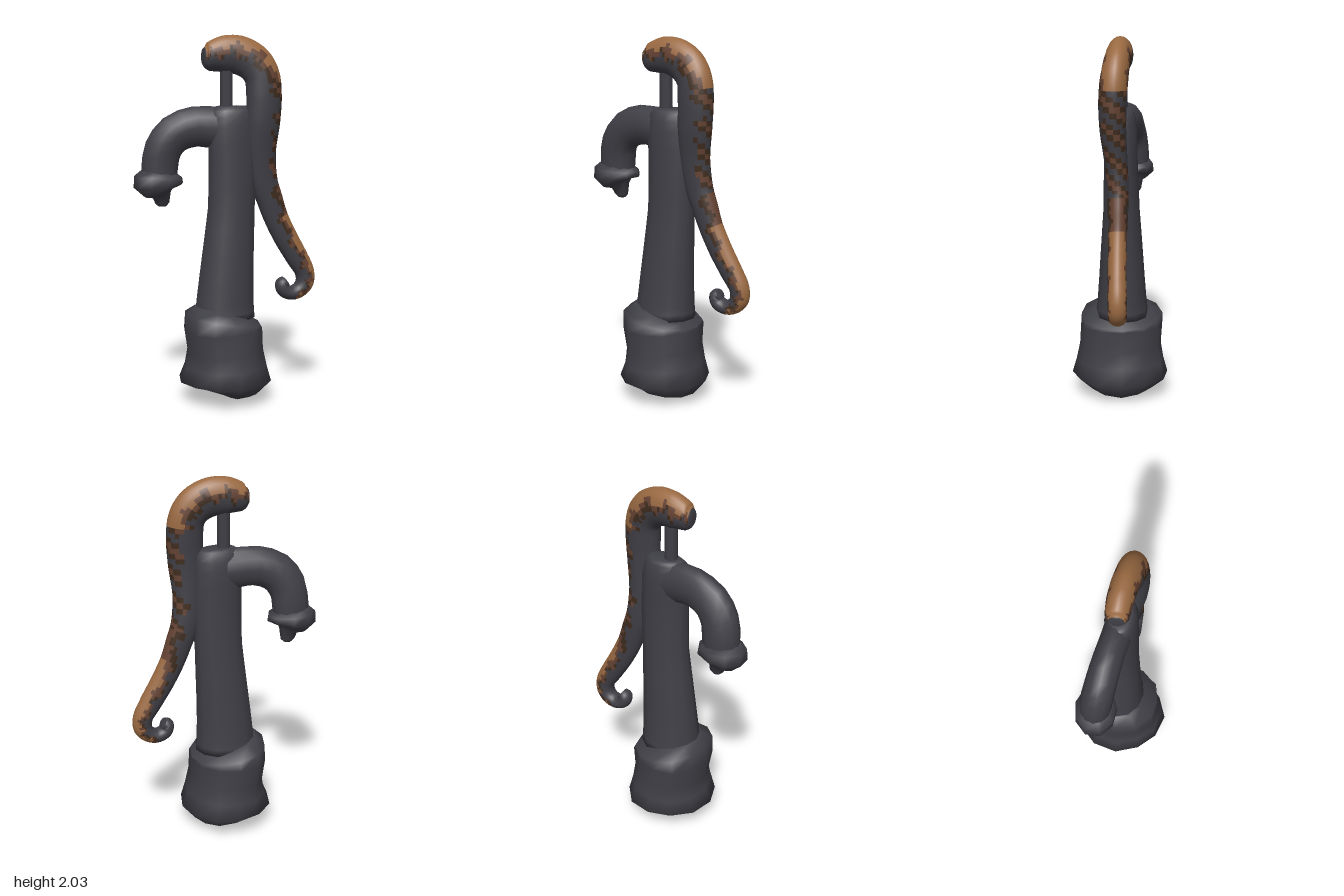
import * as THREE from 'three';

const charcoal = new THREE.MeshStandardMaterial({ name: 'charcoal iron', color: 0x3f3f46 });
const rust = new THREE.MeshStandardMaterial({ name: 'light rust', color: 0x9a6a42 });
const brown = new THREE.MeshStandardMaterial({ name: 'brown rust', color: 0x644232 });
const darkBrown = new THREE.MeshStandardMaterial({ name: 'dark rust', color: 0x3f2c1e });
const palette = [charcoal, rust, brown, darkBrown];

// Sweep of elliptical rings along stations [x, y, z, radius in the xy plane, radius in z].
// Ring angle 0 lies on the left of the direction of travel. pick(t, angle) chooses a material.
function sweep(name, stations, { sides = 12, steps = 1, wobble = 0, pick = null } = {}) {
  const path = new THREE.CatmullRomCurve3(stations.map(s => new THREE.Vector3(s[0], s[1], s[2])));
  const last = stations.length - 1;
  const rings = last * steps;
  const pos = [];
  for (let i = 0; i <= rings; i++) {
    const t = i / rings;
    const p = path.getPoint(t), d = path.getTangent(t);
    const k = Math.min(Math.floor(i / steps), last - 1), f = i / steps - k;
    const ra = THREE.MathUtils.lerp(stations[k][3], stations[k + 1][3], f);
    const rb = THREE.MathUtils.lerp(stations[k][4], stations[k + 1][4], f);
    const len = Math.hypot(d.x, d.y);
    const ox = -d.y / len, oy = d.x / len;
    for (let j = 0; j < sides; j++) {
      const a = (j / sides) * Math.PI * 2;
      const w = 1 + wobble * Math.sin(j * 2.3 + i * 0.8);
      const u = Math.cos(a) * ra * w;
      pos.push(p.x + ox * u, p.y + oy * u, p.z + Math.sin(a) * rb * w);
    }
  }
  const start = pos.length / 3;
  pos.push(...path.getPoint(0).toArray(), ...path.getPoint(1).toArray());

  const faces = palette.map(() => []);
  for (let i = 0; i < rings; i++) {
    for (let j = 0; j < sides; j++) {
      const n = (j + 1) % sides;
      const a = i * sides + j, b = i * sides + n, c = a + sides, e = b + sides;
      let angle = ((j + 0.5) / sides) * Math.PI * 2;
      if (angle > Math.PI) angle -= Math.PI * 2;
      faces[pick ? pick((i + 0.5) / rings, angle) : 0].push(a, b, e, a, e, c);
    }
  }
  for (let j = 0; j < sides; j++) {
    const n = (j + 1) % sides, r = rings * sides;
    faces[0].push(start, n, j, start + 1, r + j, r + n);
  }
  const geo = new THREE.BufferGeometry();
  geo.setAttribute('position', new THREE.Float32BufferAttribute(pos, 3));
  geo.setIndex(faces.flat());
  let offset = 0;
  faces.forEach((list, m) => {
    if (list.length) geo.addGroup(offset, list.length, m);
    offset += list.length;
  });
  geo.computeVertexNormals();
  const mesh = new THREE.Mesh(geo, pick ? palette : charcoal);
  if (!pick) geo.clearGroups();
  mesh.name = name;
  return mesh;
}

// Ragged rust along the outer edge of the handle
function rustPattern(t, angle) {
  const ragged = 0.22 * Math.sin(t * 95 + angle * 2) + 0.16 * Math.sin(t * 211 - angle * 3);
  const edge = Math.abs(angle) + ragged;
  if (t > 0.84 || t < 0.01) return 0;
  if (t > 0.27 && t < 0.47) {                       // worn stretch beside the column
    const patch = Math.sin(t * 130 + angle * 2.5);
    return edge > 1.15 || patch < -0.45 ? 0 : patch > 0.75 ? 2 : 3;
  }
  if (t >= 0.47 && t < 0.55) return edge > 1.3 ? 0 : edge > 0.8 ? 3 : 2;
  if (edge < 1.1) return 1;
  if (edge < 1.45) return 2;
  return edge < 1.65 ? 3 : 0;
}

export function createModel() {
  const model = new THREE.Group();
  model.name = 'handPump';

  // Heavy foot with a flared bottom and a shoulder
  model.add(sweep('base', [
    [-0.03, 0.005, 0.0, 0.10, 0.12],
    [-0.02, 0.03, 0.0, 0.18, 0.19],
    [-0.02, 0.085, 0.0, 0.255, 0.27],
    [-0.02, 0.17, 0.0, 0.225, 0.25],
    [-0.025, 0.26, 0.0, 0.21, 0.235],
    [-0.035, 0.38, -0.005, 0.222, 0.235],
    [-0.035, 0.435, -0.005, 0.218, 0.23],
    [-0.025, 0.465, -0.005, 0.175, 0.155],
    [-0.02, 0.49, -0.005, 0.12, 0.11],
  ], { sides: 12, wobble: 0.025 }));

  // Tapering column
  model.add(sweep('column', [
    [-0.018, 0.44, -0.008, 0.172, 0.15],
    [-0.018, 0.52, -0.008, 0.168, 0.138],
    [0.0, 0.8, -0.006, 0.15, 0.118],
    [0.018, 1.05, -0.004, 0.137, 0.1],
    [0.025, 1.3, 0.0, 0.14, 0.092],
    [0.02, 1.5, 0.0, 0.14, 0.09],
    [0.02, 1.59, 0.0, 0.125, 0.075],
    [0.02, 1.615, 0.0, 0.09, 0.05],
  ], { sides: 12, steps: 2 }));

  // Spout bending sideways, slightly back, then down
  model.add(sweep('spout', [
    [0.08, 1.49, 0.0, 0.10, 0.075],
    [-0.05, 1.495, -0.015, 0.115, 0.08],
    [-0.18, 1.505, -0.04, 0.11, 0.08],
    [-0.29, 1.465, -0.06, 0.108, 0.083],
    [-0.35, 1.385, -0.075, 0.106, 0.085],
    [-0.367, 1.29, -0.085, 0.104, 0.085],
    [-0.37, 1.2, -0.085, 0.10, 0.083],
  ], { sides: 12, steps: 2 }));

  // Flange at the mouth with a small nozzle below
  model.add(sweep('spoutFlange', [
    [-0.372, 1.26, -0.085, 0.10, 0.08],
    [-0.375, 1.232, -0.085, 0.135, 0.11],
    [-0.375, 1.185, -0.085, 0.14, 0.113],
    [-0.37, 1.155, -0.085, 0.09, 0.085],
    [-0.355, 1.135, -0.09, 0.055, 0.045],
    [-0.352, 1.085, -0.095, 0.04, 0.03],
    [-0.352, 1.068, -0.095, 0.022, 0.018],
  ], { sides: 9 }));

  // Pump rod between column and handle head
  const rod = new THREE.Mesh(new THREE.CylinderGeometry(0.036, 0.036, 0.26, 8), charcoal);
  rod.name = 'pumpRod';
  rod.position.set(-0.012, 1.69, 0.0);
  model.add(rod);

  // Long handle: hooked head, bend over the top, drop, and curled grip
  model.add(sweep('handle', [
    [-0.143, 1.88, -0.005, 0.045, 0.035],
    [-0.115, 1.88, -0.005, 0.075, 0.06],
    [-0.03, 1.893, 0.0, 0.1, 0.068],
    [0.05, 1.89, 0.012, 0.105, 0.07],
    [0.13, 1.85, 0.028, 0.105, 0.072],
    [0.178, 1.78, 0.04, 0.1, 0.075],
    [0.19, 1.66, 0.047, 0.1, 0.075],
    [0.185, 1.52, 0.045, 0.097, 0.07],
    [0.18, 1.36, 0.03, 0.085, 0.062],
    [0.2, 1.2, 0.02, 0.08, 0.058],
    [0.235, 1.1, 0.02, 0.075, 0.055],
    [0.275, 0.99, 0.022, 0.07, 0.05],
    [0.335, 0.87, 0.025, 0.068, 0.05],
    [0.4, 0.76, 0.027, 0.064, 0.05],
    [0.45, 0.67, 0.027, 0.056, 0.05],
    [0.452, 0.61, 0.027, 0.053, 0.05],
    [0.42, 0.567, 0.025, 0.045, 0.05],
    [0.37, 0.552, 0.025, 0.04, 0.05],
    [0.325, 0.572, 0.025, 0.04, 0.048],
    [0.315, 0.607, 0.025, 0.04, 0.045],
    [0.337, 0.622, 0.025, 0.03, 0.035],
  ], { sides: 24, steps: 5, pick: rustPattern }));

  return model;
}
